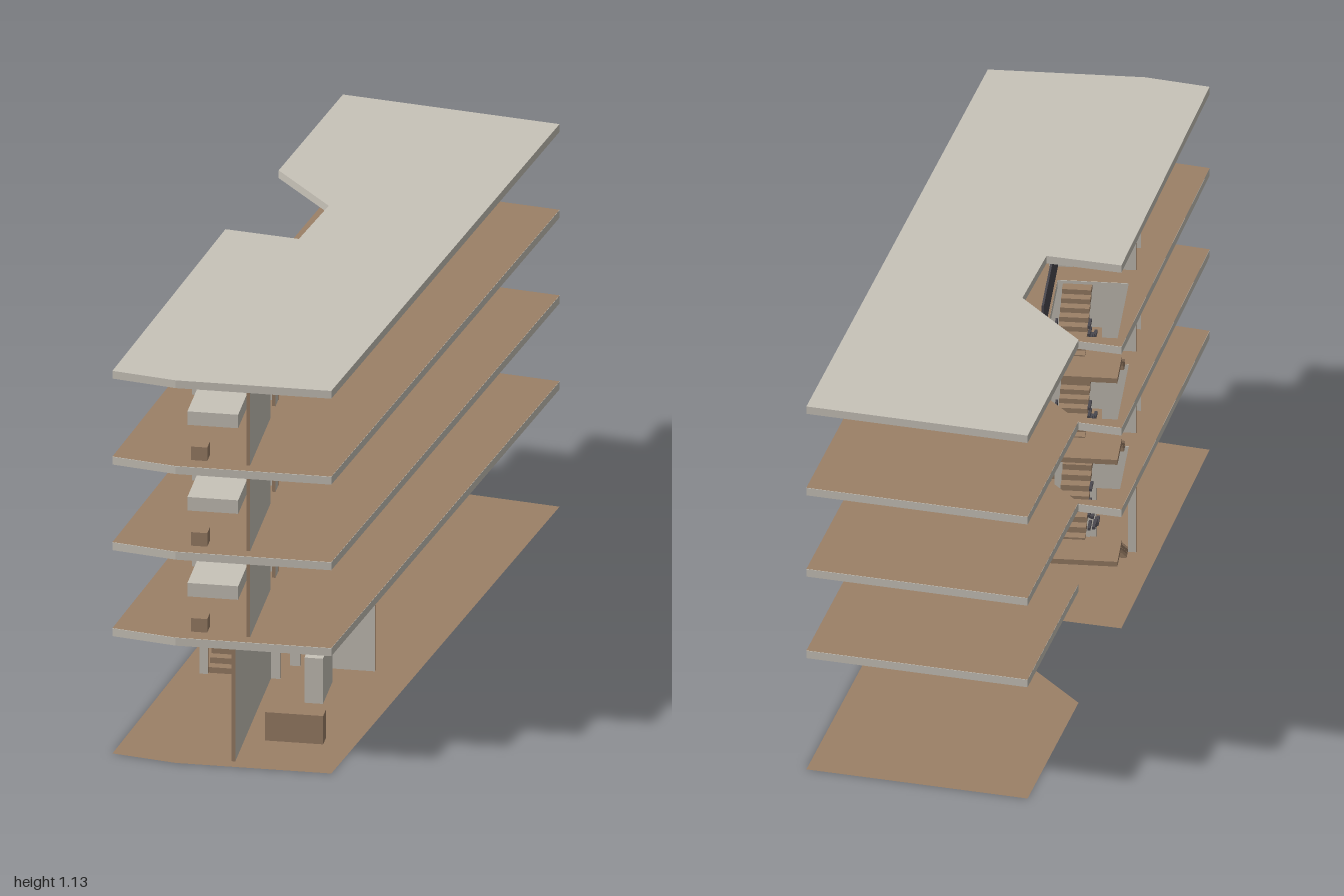
import * as THREE from 'three';

const mat = (name, color, side = THREE.FrontSide) => {
  const m = new THREE.MeshStandardMaterial({ color, side });
  m.name = name;
  return m;
};

export function createModel() {
  const root = new THREE.Group();
  root.name = 'building';
  const grey = mat('concrete', 0xc8c3b9);
  const brown = mat('wood', 0x9b8067);
  const floorBrown = mat('woodFloor', 0x9b8067, THREE.DoubleSide);
  const dark = mat('darkMetal', 0x4a484f);

  const add = (geo, material, name, parent = root) => {
    const m = new THREE.Mesh(geo, material);
    m.name = name;
    parent.add(m);
    return m;
  };
  // box from its minimum and maximum corners
  const box = (name, material, [x0, x1], [y0, y1], [z0, z1], parent) => {
    const g = new THREE.BoxGeometry(x1 - x0, y1 - y0, z1 - z0);
    g.translate((x0 + x1) / 2, (y0 + y1) / 2, (z0 + z1) / 2);
    return add(g, material, name, parent);
  };

  // slanted floor outline as x, z; the stairwell is a hole in it
  const outline = [[-0.16, -1], [0.455, -0.9], [0.15, 1], [-0.28, 1], [-0.46, 0.965],
    [-0.32, -0.04], [-0.112, -0.008], [-0.07, -0.245], [-0.245, -0.46]];
  const footprint = (withHole) => {
    const s = new THREE.Shape(outline.map(([x, z]) => new THREE.Vector2(x, z)));
    if (withHole) {
      s.holes.push(new THREE.Path([[-0.305, 0.005], [-0.305, 0.31], [-0.11, 0.31], [-0.11, 0.005]]
        .map(([x, z]) => new THREE.Vector2(x, z))));
    }
    return s;
  };
  const slab = (name, top, withHole) => {
    const g = new THREE.ExtrudeGeometry(footprint(withHole), { depth: 0.023, bevelEnabled: false });
    g.rotateX(Math.PI / 2).translate(0, top, 0);
    add(g, grey, name);
  };
  const flooring = (name, y, withHole) => {
    const g = new THREE.ShapeGeometry(footprint(withHole));
    g.rotateX(Math.PI / 2).translate(0, y, 0);
    add(g, floorBrown, name);
  };

  // thin wall along x or z, with wooden ends and an optional doorway
  const T = 0.005;
  const wall = (name, axis, [a0, a1], at, y0, y1, door) => {
    const group = new THREE.Group();
    group.name = name;
    root.add(group);
    const mats = axis === 'x'
      ? [brown, brown, brown, brown, grey, grey]
      : [grey, grey, brown, brown, brown, brown];
    const pieces = door
      ? [[a0, door[0], y0], [door[1], a1, y0], [door[0], door[1], y0 + door[2]]]
      : [[a0, a1, y0]];
    for (const [p, q, base] of pieces) {
      const across = [at - T, at + T];
      if (axis === 'x') box('wallPanel', mats, [p, q], [base, y1], across, group);
      else box('wallPanel', mats, across, [base, y1], [p, q], group);
    }
  };

  // two flights of steps with a landing between them
  const stairs = (y0, height, zStart, steps) => {
    const group = new THREE.Group();
    group.name = 'staircase';
    root.add(group);
    const rise = height / (2 * steps);
    const zLand = 0.12;
    const run = (zStart - zLand) / steps;
    const mid = y0 + height / 2;
    for (let i = 0; i < steps; i++) {
      const zLow = zStart - (i + 1) * run;
      box('lowerStep', brown, [-0.295, -0.215], [y0 + i * rise + 0.001, y0 + (i + 1) * rise],
        [zLow - 0.008, zLow + run], group);
      const zUp = zLand + i * run;
      box('upperStep', brown, [-0.205, -0.125], [mid + i * rise - 0.004, mid + (i + 1) * rise - 0.005],
        [zUp - 0.008, zUp + run], group);
    }
    box('landing', brown, [-0.305, -0.11], [mid - 0.008, mid + 0.007], [0, 0.13], group);
  };
  // short dark rail pieces between the flights, as z, y
  const railPieces = (y0, list) => {
    for (const [z, y] of list) {
      box('railPiece', dark, [-0.219, -0.211], [y0 + y - 0.004, y0 + y + 0.004], [z - 0.022, z + 0.022]);
    }
  };

  // floors and roof
  const tops = [0.371, 0.626, 0.88];
  const roofTop = 1.135;
  flooring('groundFloor', 0, false);
  tops.forEach((y) => {
    slab('floorSlab', y, true);
    flooring('floorFinish', y + 0.001, true);
  });
  slab('roof', roofTop, false);

  // ground storey
  const g0 = 0.001;
  const g1 = tops[0] - 0.023;
  wall('longWall', 'z', [0.39, 0.965], -0.126, g0, g1);
  wall('stairWall', 'x', [-0.318, -0.095], 0.385, g0, g1, [-0.295, -0.21, 0.195]);
  wall('hallWall', 'x', [-0.084, 0.15], 0.29, g0, g1, [-0.056, 0.028, 0.195]);
  box('counter', brown, [-0.066, 0.095], [g0, 0.085], [0.76, 0.81]);
  box('cabinet', grey, [-0.003, 0.048], [g0, 0.135], [0.385, 0.538]);
  box('stool', brown, [0.042, 0.087], [g0, 0.042], [0.02, 0.065]);
  box('darkStool', dark, [-0.041, 0.004], [g0, 0.042], [0.01, 0.055]);
  stairs(0, 0.355, 0.38, 10);
  railPieces(0, [[0.36, 0.105], [0.31, 0.13], [0.27, 0.145], [0.23, 0.2],
    [0.14, 0.215], [0.14, 0.255], [0.14, 0.285], [0.18, 0.315]]);

  // upper storeys
  tops.forEach((y, i) => {
    const y0 = y + 0.002;
    const ceiling = (tops[i + 1] ?? roofTop) - 0.023;
    wall('roomWall', 'z', [0.515, 0.965], -0.085, y0, ceiling, [0.555, 0.64, 0.205]);
    wall('backRoomWall', 'x', [-0.318, -0.08], 0.51, y0, ceiling);
    wall('stairWall', 'x', [-0.318, -0.08], 0.387, y0, ceiling, [-0.225, -0.145, 0.205]);
    box('bed', grey, [-0.295, -0.155], [y0, y + 0.042], [0.55, 0.72]);
    box('nightstand', brown, [-0.147, -0.103], [y0, y + 0.042], [0.526, 0.571]);
    box('seat', brown, [-0.245, -0.2], [y0, y + 0.042], [0.91, 0.955]);
    box('stairBalustrade', dark, [-0.104, -0.098], [y0, y + 0.095], [0, 0.385]);
    if (i < 2) {
      stairs(y, 0.25, 0.31, 8);
      railPieces(y, [[0.29, 0.1], [0.255, 0.11], [0.215, 0.135], [0.16, 0.165], [0.14, 0.195], [0.14, 0.22]]);
    }
  });

  return root;
}
